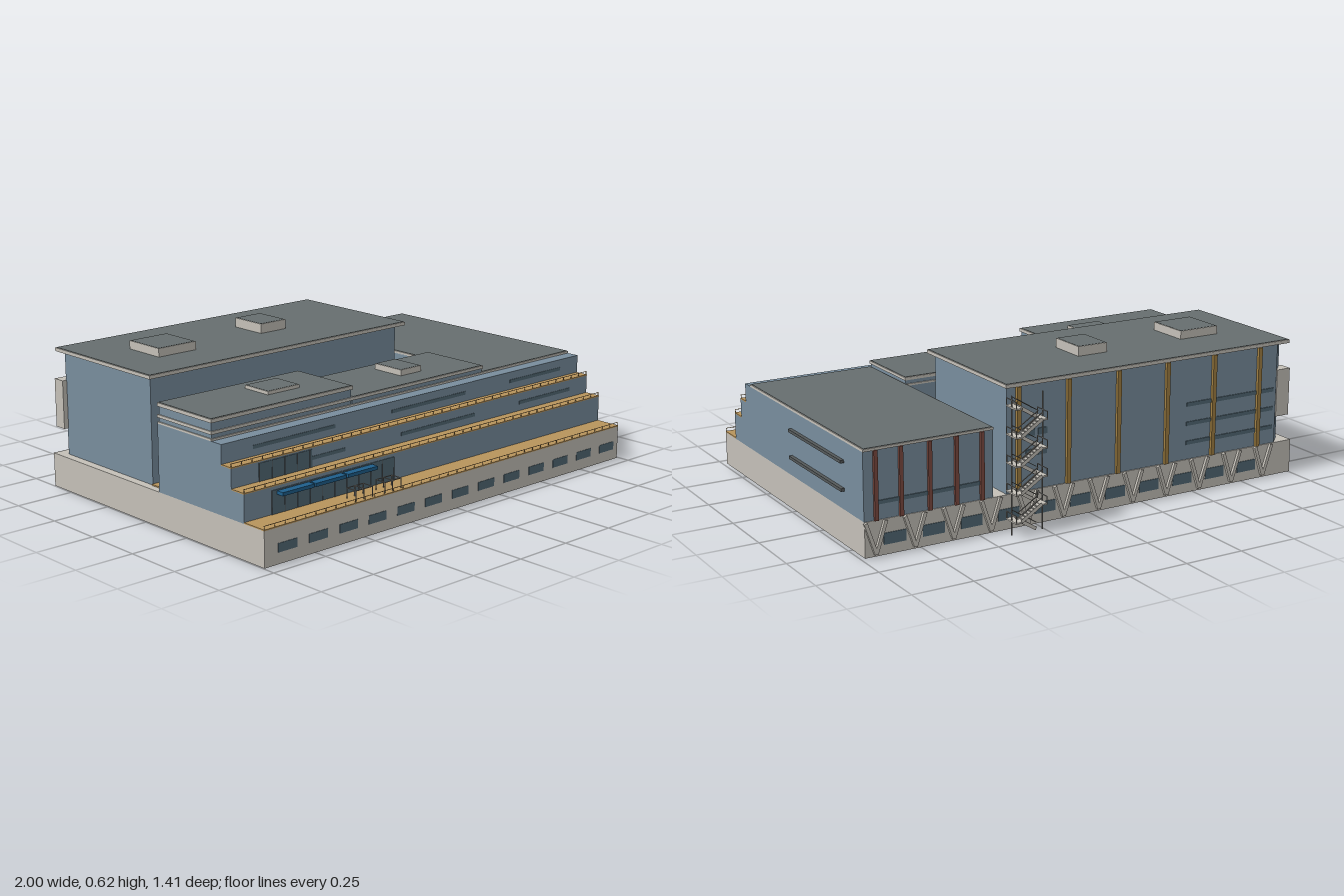
import * as THREE from 'three';

const mat = (color, side = THREE.FrontSide) => new THREE.MeshStandardMaterial({ color, side });
const M = {
  stone: mat(0xc4c0b8), wall: mat(0x788d9d), roof: mat(0x666e6f), deck: mat(0xb8945c),
  glass: mat(0x526975), awning: mat(0x1f5f8c), dark: mat(0x55595a),
  yellow: mat(0xa07f42), red: mat(0x7d4a40), metal: mat(0x8f8d88),
};

export function createModel() {
  const root = new THREE.Group();
  const group = (name) => {
    const g = new THREE.Group();
    g.name = name;
    root.add(g);
    return g;
  };
  const add = (name, geo, material, parent) => {
    const m = new THREE.Mesh(geo, material);
    m.name = name;
    parent.add(m);
    return m;
  };
  // Box given by its limits on each axis
  const box = (name, x0, x1, y0, y1, z0, z1, material, parent = root) => {
    const m = add(name, new THREE.BoxGeometry(x1 - x0, y1 - y0, z1 - z0), material, parent);
    m.position.set((x0 + x1) / 2, (y0 + y1) / 2, (z0 + z1) / 2);
    return m;
  };
  // Slanted bar between two points in an x-y plane
  const bar = (name, x0, y0, x1, y1, z, thick, depth, material, parent) => {
    const len = Math.hypot(x1 - x0, y1 - y0);
    const m = add(name, new THREE.BoxGeometry(len, thick, depth), material, parent);
    m.position.set((x0 + x1) / 2, (y0 + y1) / 2, z);
    m.rotation.z = Math.atan2(y1 - y0, x1 - x0);
  };
  // Stone roof edge with grey roofing on top
  const cap = (x0, x1, y, z0, z1, h = 0.014) => {
    const g = group('roofCap');
    box('roofEdge', x0, x1, y, y + h, z0, z1, M.stone, g);
    box('roofing', x0 + 0.004, x1 - 0.004, y + h, y + h + 0.002, z0 + 0.004, z1 - 0.004, M.roof, g);
  };

  // Ground floor with front windows
  box('base', -1, 0.985, 0, 0.14, -0.61, 0.7, M.stone);
  const baseWindows = group('baseWindows');
  for (let i = 0; i < 13; i++) {
    const x = -0.936 + 0.15 * i;
    box('frontBaseWindow', x, x + 0.092, 0.045, 0.08, 0.698, 0.702, M.glass, baseWindows);
  }

  // Stepped front: three terraces
  const steps = [[0.59, 0.14, 0.25], [0.52, 0.25, 0.33], [0.465, 0.33, 0.41]];
  let front = 0.7;
  for (const [z, y0, y1] of steps) {
    const g = group('terrace');
    box('terraceStorey', -1, 0.985, y0, y1, 0.09, z, M.wall, g);
    box('deck', -1, 0.985, y0, y0 + 0.005, z, front, M.deck, g);
    box('handrail', -1, 0.985, y0 + 0.017, y0 + 0.019, front - 0.004, front - 0.002, M.deck, g);
    for (let i = 0; i <= 40; i++) {
      const x = -0.998 + 0.0495 * i;
      box('railPost', x, x + 0.002, y0, y0 + 0.018, front - 0.004, front - 0.002, M.deck, g);
    }
    front = z;
  }

  // Front window bands
  const bands = group('windowBands');
  for (const [y, z] of [[0.29, 0.52], [0.37, 0.465]])
    for (const [x0, x1] of [[-0.85, -0.44], [-0.14, 0.28], [0.55, 0.87]])
      box('windowBand', x0, x1, y - 0.007, y + 0.007, z - 0.002, z + 0.002, M.glass, bands);

  // Entrance glazing with mullions, awnings and porch frames
  const entrance = group('entrance');
  box('entranceGlass', -0.87, -0.25, 0.145, 0.237, 0.588, 0.593, M.glass, entrance);
  box('upperGlass', -0.87, -0.61, 0.255, 0.325, 0.518, 0.523, M.glass, entrance);
  for (let i = 0; i <= 10; i++) {
    const x = -0.87 + 0.062 * i;
    box('mullion', x - 0.001, x + 0.001, 0.145, 0.237, 0.592, 0.595, M.dark, entrance);
    if (i < 5) box('upperMullion', x - 0.001, x + 0.001, 0.255, 0.325, 0.522, 0.525, M.dark, entrance);
  }
  for (let i = 0; i < 3; i++) {
    const x = -0.845 + 0.162 * i;
    box('awning', x, x + 0.154, 0.218, 0.232, 0.585, 0.625, M.awning, entrance);
  }
  for (const x of [-0.54, -0.39]) {
    for (const dx of [0, 0.04, 0.084]) {
      for (const z of [0.635, 0.685]) box('framePost', x + dx, x + dx + 0.003, 0.14, 0.187, z, z + 0.003, M.metal, entrance);
      box('frameBeam', x + dx, x + dx + 0.003, 0.184, 0.187, 0.635, 0.688, M.metal, entrance);
    }
    for (const z of [0.635, 0.685]) box('frameRail', x, x + 0.087, 0.184, 0.187, z, z + 0.003, M.metal, entrance);
  }

  // Upper front blocks
  box('upperBlockRight', -0.295, 0.44, 0.41, 0.436, 0.095, 0.405, M.wall);
  cap(-0.295, 0.445, 0.434, 0.09, 0.41, 0.012);
  box('upperBlockLeft', -0.995, -0.3, 0.41, 0.48, 0.095, 0.405, M.wall);
  box('upperBlockBand', -1, -0.295, 0.434, 0.446, 0.09, 0.41, M.stone);
  cap(-1, -0.295, 0.478, 0.09, 0.41);
  box('upperBlockSill', -1, 0.445, 0.41, 0.418, 0.09, 0.41, M.stone);

  // Side wing reaching to the back
  box('sideWing', 0.44, 0.985, 0.14, 0.411, -0.607, 0.41, M.wall);
  cap(0.44, 0.986, 0.409, -0.612, 0.41, 0.01);
  for (const y of [0.22, 0.33])
    box('sideWindowLedge', 0.98, 1, y - 0.006, y + 0.006, -0.45, 0.015, M.dark);

  // Tall rear block with two cut corners
  const plan = new THREE.Shape([
    [-0.965, -0.005], [-0.965, 0.555], [-0.915, 0.605], [0.38, 0.605],
    [0.38, 0.05], [0.33, -0.005],
  ].map(([x, y]) => new THREE.Vector2(x, y)).reverse());
  const tall = add('tallBlock', new THREE.ExtrudeGeometry(plan, { depth: 0.42, bevelEnabled: false }), M.wall, root);
  tall.rotation.x = -Math.PI / 2;
  tall.position.y = 0.14;
  cap(-0.972, 0.385, 0.56, -0.612, 0.01);
  box('cornerBox', -0.985, -0.92, 0.25, 0.45, -0.605, -0.55, M.stone);

  // Courtyard strip between the blocks
  const court = group('courtyard');
  box('courtyardDeck', -0.97, 0.38, 0.139, 0.145, 0.005, 0.09, M.deck, court);
  for (const [x0, x1] of [[-0.24, -0.13], [0.06, 0.14]])
    for (let i = 0; i < 3; i++)
      box('courtyardStep', x0, x1, 0.145, 0.155 + 0.01 * i, 0.015 + 0.026 * i, 0.035 + 0.026 * i, M.stone, court);

  // Rooftop housings
  for (const [x0, x1, y0, y1, z0, z1] of [
    [-0.77, -0.585, 0.57, 0.61, -0.385, -0.195], [-0.21, -0.075, 0.57, 0.615, -0.4, -0.235],
    [-0.63, -0.47, 0.49, 0.507, 0.16, 0.295], [0.07, 0.185, 0.44, 0.472, 0.155, 0.305],
  ]) {
    box('roofHousing', x0, x1, y0, y1, z0, z1, M.stone);
    box('housingTop', x0 + 0.003, x1 - 0.003, y1, y1 + 0.001, z0 + 0.003, z1 - 0.003, M.roof);
  }

  // Rear wall: coloured pilasters, windows, V braces
  const rear = group('rearWall');
  for (const x of [0.33, 0.105, -0.127, -0.36, -0.59, -0.82])
    box('yellowPilaster', x - 0.009, x + 0.009, 0.14, 0.56, -0.618, -0.6, M.yellow, rear);
  for (const x of [0.937, 0.833, 0.713, 0.6, 0.49])
    box('redPilaster', x - 0.008, x + 0.008, 0.14, 0.41, -0.618, -0.6, M.red, rear);
  for (const y of [0.21, 0.29, 0.37])
    box('rearWindowBand', -0.9, -0.46, y - 0.008, y + 0.008, -0.609, -0.6, M.glass, rear);
  for (const y of [0.29, 0.37])
    for (const x of [0.2, 0.255]) box('smallRearWindow', x, x + 0.04, y - 0.013, y + 0.013, -0.609, -0.6, M.glass, rear);
  box('wingWindowBand', 0.49, 0.93, 0.2, 0.215, -0.611, -0.6, M.glass, rear);
  for (let i = 0; i < 12; i++) {
    const x = -0.85 + 0.163 * i;
    for (const s of [-1, 1]) bar('brace', x, 0.012, x + s * 0.042, 0.138, -0.617, 0.014, 0.012, M.stone, rear);
    if (i < 11) box('rearBaseWindow', x + 0.035, x + 0.128, 0.04, 0.085, -0.613, -0.6, M.glass, rear);
  }

  // Zigzag escape stair in two lanes
  const stair = group('escapeStair');
  const rise = 0.056;
  for (let i = 0; i < 9; i++) {
    const y = i * rise, even = i % 2 === 0;
    const z = even ? -0.652 : -0.695;
    const [xa, xb] = even ? [0.285, 0.375] : [0.375, 0.285];
    const [l0, l1] = even ? [0.37, 0.4] : [0.26, 0.29];
    bar('flight', xa, y, xb, y + rise, z, 0.006, 0.03, M.stone, stair);
    for (const s of [-1, 1]) {
      bar('flightRail', xa, y + 0.03, xb, y + rise + 0.03, z + s * 0.015, 0.003, 0.003, M.metal, stair);
      bar('stringer', xa, y + 0.004, xb, y + rise + 0.004, z + s * 0.015, 0.014, 0.002, M.stone, stair);
    }
    for (let k = 1; k < 7; k++) {
      const x = xa + (xb - xa) * k / 7, ty = y + rise * k / 7;
      box('tread', x - 0.007, x + 0.007, ty, ty + 0.005, z - 0.014, z + 0.014, M.metal, stair);
    }
    box('landing', l0, l1, y + rise - 0.003, y + rise + 0.003, -0.71, -0.637, M.stone, stair);
    const outer = even ? 0.398 : 0.262;
    box('landingRail', outer - 0.0015, outer + 0.0015, y + rise + 0.028, y + rise + 0.031, -0.71, -0.637, M.metal, stair);
    for (const pz of [-0.709, -0.638])
      box('landingPost', outer - 0.0015, outer + 0.0015, y + rise, y + rise + 0.031, pz - 0.0015, pz + 0.0015, M.metal, stair);
  }
  for (const x of [0.262, 0.398]) box('stairColumn', x - 0.002, x + 0.002, 0, 0.55, -0.676, -0.672, M.metal, stair);

  return root;
}
